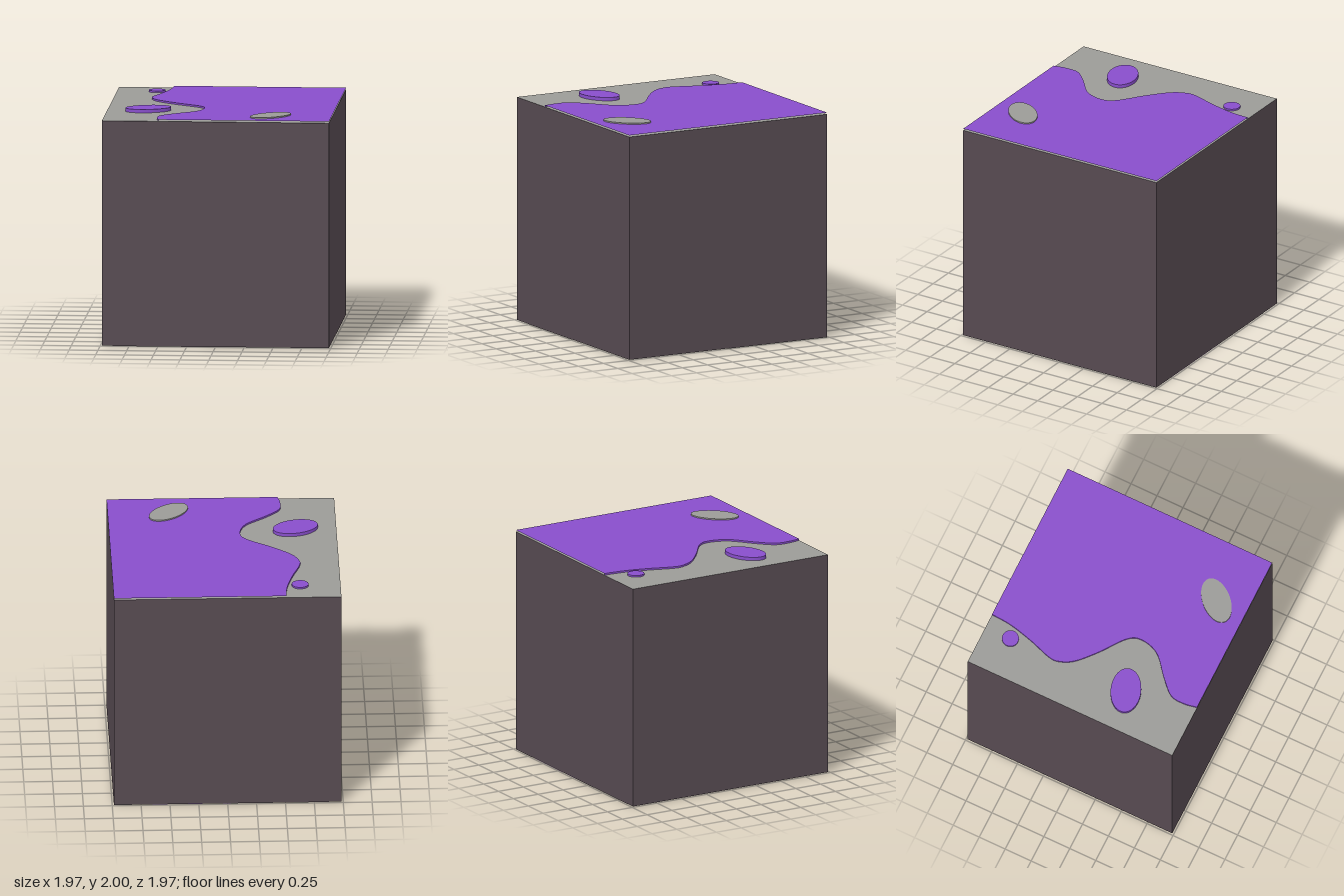
import * as THREE from 'three';

const H = 0.985;      // half width of the block
const TOP = 1.97;     // top of the block
const SHEET = 1.985;  // height of the raised sheet

const mat = (name, color, side = THREE.FrontSide) => {
  const m = new THREE.MeshStandardMaterial({ color, side });
  m.name = name;
  return m;
};

export function createModel() {
  const group = new THREE.Group();
  const brown = mat('brown', 0x564a51);
  const grey = mat('grey', 0x9b9b97);
  const purple = mat('purple', 0x884ecb, THREE.DoubleSide);
  const slate = mat('slate', 0x585c5a);
  const teal = mat('teal', 0x779d91);

  const add = (name, geometry, material) => {
    const mesh = new THREE.Mesh(geometry, material);
    mesh.name = name;
    group.add(mesh);
    return mesh;
  };

  // Block: brown walls, grey top and base
  const base = 0.002;
  add('block', new THREE.BoxGeometry(2 * H, TOP - base, 2 * H), [brown, brown, grey, grey, brown, brown])
    .position.y = (TOP + base) / 2;

  // Coloured plates on the underside: x0, x1, z0, z1
  const plate = (name, material, x0, x1, z0, z1) =>
    add(name, new THREE.BoxGeometry(x1 - x0, base, z1 - z0), material)
      .position.set((x0 + x1) / 2, base / 2, (z0 + z1) / 2);
  plate('purplePlate', purple, -0.03, 0.725, -H, -0.015);
  plate('tealPlate', teal, -0.77, -0.03, -0.81, -0.015);
  plate('brownPlate', brown, -0.77, -0.03, -0.015, H);
  plate('slatePlate', slate, -0.03, 0.725, -0.015, 0.73);
  plate('slateSideStrip', slate, 0.725, H, -H, -0.015);
  plate('slateBackStrip', slate, -0.77, -0.03, -H, -0.81);

  // Wavy border of the raised sheet, from back to front (x, z)
  const border = new THREE.SplineCurve([
    [-0.507, -H], [-0.522, -0.8], [-0.575, -0.58], [-0.643, -0.37], [-0.64, -0.27],
    [-0.575, -0.15], [-0.41, 0], [-0.2, 0.16], [-0.148, 0.28], [-0.2, 0.45],
    [-0.38, 0.61], [-0.5, 0.74], [-0.515, 0.87], [-0.495, H],
  ].map(([x, z]) => new THREE.Vector2(x, z))).getPoints(90);

  // Sheet surface: drawn with y = -z, then laid flat
  const shape = new THREE.Shape();
  shape.moveTo(H, H);
  border.forEach(p => shape.lineTo(p.x, -p.y));
  shape.lineTo(H, -H);
  shape.closePath();
  add('raisedSheet', new THREE.ShapeGeometry(shape).rotateX(-Math.PI / 2), purple).position.y = SHEET;

  // Wall under the wavy border
  const wall = new THREE.PlaneGeometry(1, 1, border.length - 1, 1);
  const pos = wall.attributes.position;
  for (let i = 0; i < pos.count; i++) {
    const p = border[i % border.length];
    pos.setXYZ(i, p.x, i < border.length ? SHEET : TOP, p.y);
  }
  wall.computeVertexNormals();
  add('sheetWall', wall, purple);

  // Oval discs: centre x, z, radii a, b, turn, bottom and top
  const disc = (name, material, x, z, a, b, turn, y0, y1) => {
    const g = new THREE.CylinderGeometry(1, 1, y1 - y0, 48).scale(a, 1, b).rotateY(turn);
    add(name, g, material).position.set(x, (y0 + y1) / 2, z);
  };
  disc('largePurpleOval', purple, -0.63, 0.365, 0.202, 0.132, 0.35, TOP, 2);
  disc('smallPurpleDisc', purple, -0.635, -0.745, 0.073, 0.073, 0, TOP, SHEET);
  disc('greyOval', grey, 0.458, 0.705, 0.21, 0.12, Math.PI / 4, TOP, 1.996);

  return group;
}
